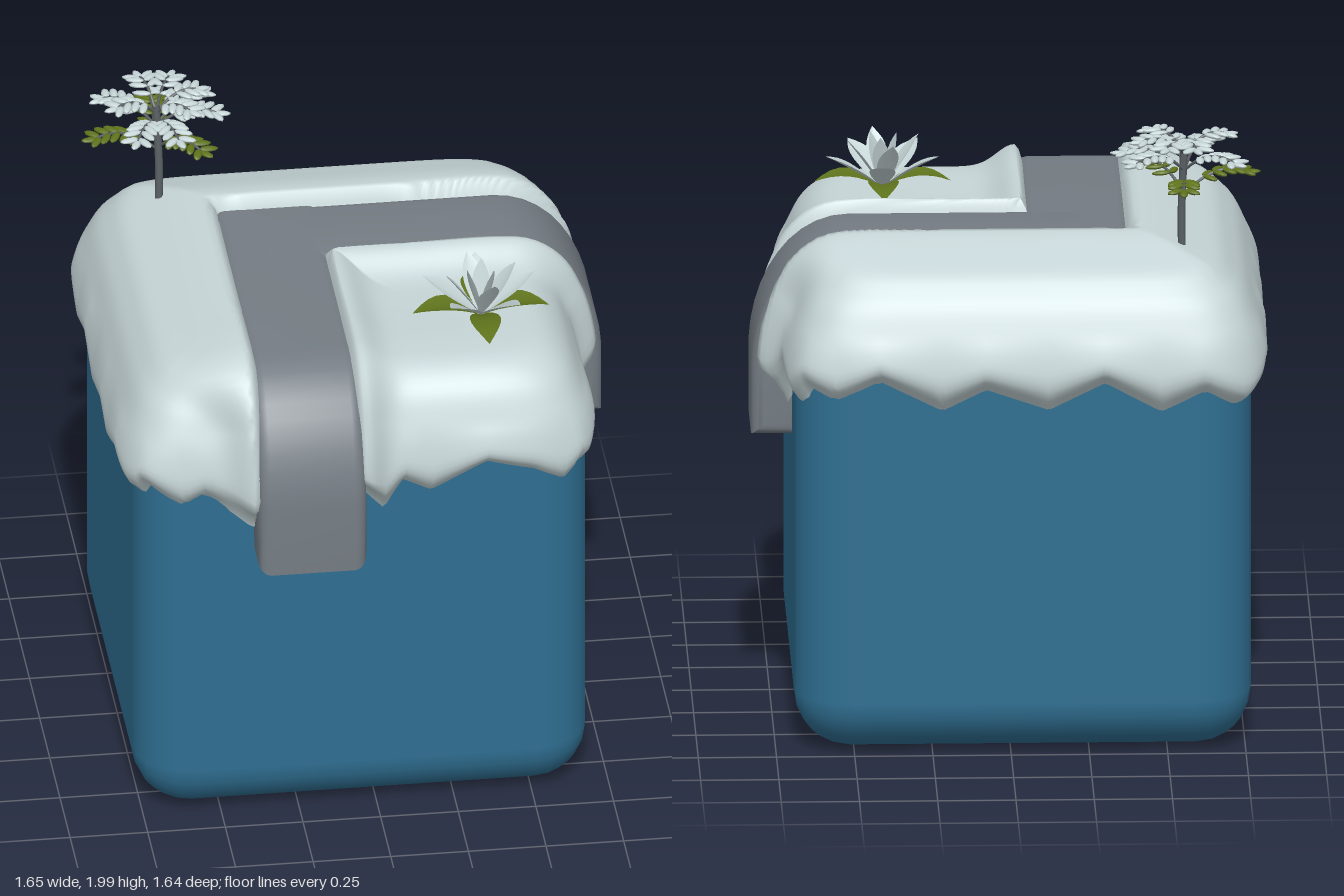
import * as THREE from 'three';
import { mergeVertices, toCreasedNormals } from 'three/addons/utils/BufferGeometryUtils.js';
import { RoundedBoxGeometry } from 'three/addons/geometries/RoundedBoxGeometry.js';

function mat(name, color, side = THREE.FrontSide) {
  const m = new THREE.MeshStandardMaterial({ color, side });
  m.name = name;
  return m;
}
const ICE = mat('ice blue', 0x2f6f92);
const SNOW = mat('snow', 0xc6d5d7, THREE.DoubleSide);
const STONE = mat('path grey', 0x747c83);
const GREEN = mat('leaf green', 0x5f731c, THREE.DoubleSide);
const BARK = mat('bark grey', 0x5c6266);

function mesh(name, geometry, material, parent) {
  const m = new THREE.Mesh(geometry, material);
  m.name = name;
  parent.add(m);
  return m;
}

// Path arms lie between these two lines in both x and z
const OUT = -0.4, IN = -0.05;

// Raised lip beside the path and sunken channel below it
function lip(x, z, sigmaOut, sigmaIn) {
  const outer = Math.max(OUT - x, OUT - z);
  const inner = Math.min(x - IN, z - IN);
  if (outer >= 0) return 0.075 * Math.exp(-((outer / sigmaOut) ** 2));
  if (inner >= 0) return 0.07 * Math.exp(-((inner / sigmaIn) ** 2));
  return 0.072 - 0.15 * THREE.MathUtils.smoothstep(Math.min(-outer, -inner), 0, 0.06);
}

// Heights of the ragged snow edge along each side: [position, y]
const EDGES = {
  front: [[-0.75, 1.22], [-0.63, 1.14], [-0.56, 1.19], [-0.45, 1.12], [-0.41, 1.09], [-0.05, 1.2], [0.02, 1.11],
    [0.08, 1.2], [0.17, 1.15], [0.35, 1.25], [0.5, 1.2], [0.6, 1.13], [0.7, 1.21]],
  right: [[-0.77, 1.23], [-0.68, 1.13], [-0.53, 1.21], [-0.44, 1.09], [-0.4, 1.12], [-0.05, 1.13], [0.05, 1.03],
    [0.12, 1.17], [0.2, 1.15], [0.35, 1.22], [0.5, 1.25], [0.63, 1.17], [0.7, 1.21]],
  back: [[-0.75, 1.12], [-0.62, 1.2], [-0.48, 1.14], [-0.3, 1.24], [-0.12, 1.15], [0.08, 1.22], [0.22, 1.15],
    [0.42, 1.25], [0.56, 1.17], [0.7, 1.23]],
  left: [[-0.75, 1.12], [-0.6, 1.22], [-0.42, 1.16], [-0.24, 1.24], [-0.05, 1.14], [0.15, 1.21], [0.3, 1.15],
    [0.47, 1.23], [0.6, 1.16], [0.7, 1.22]],
};
function edgeHeight(dx, dz, x, z) {
  const alongX = Math.abs(dz) > Math.abs(dx);
  const table = alongX ? (dz > 0 ? EDGES.front : EDGES.back) : (dx > 0 ? EDGES.right : EDGES.left);
  const s = alongX ? x : z;
  if (s <= table[0][0]) return table[0][1];
  for (let i = 1; i < table.length; i++) {
    const [a, ya] = table[i - 1], [b, yb] = table[i];
    if (s <= b) return ya + (yb - ya) * (s - a) / (b - a);
  }
  return table[table.length - 1][1];
}

// Snow cap: rounded-square rings following a profile, pushed out by the lips
function snowGeometry() {
  const around = 288, rows = 48, half = 0.775, cx = -0.05, cz = -0.045;
  const profile = new THREE.CatmullRomCurve3([
    [0, 1.575], [0.35, 1.575], [0.68, 1.578], [0.8, 1.565], [0.89, 1.51], [0.95, 1.42], [0.99, 1.33], [1, 1.25], [0.93, 1.18],
  ].map(([k, y]) => new THREE.Vector3(k * half, y, 0)));
  const pos = [], index = [];
  for (let j = 0; j <= rows; j++) {
    const p = profile.getPointAt(j / rows), t = profile.getTangentAt(j / rows);
    for (let i = 0; i < around; i++) {
      const a = i / around * Math.PI * 2, c = Math.cos(a), s = Math.sin(a);
      const r = (Math.abs(c) ** 8 + Math.abs(s) ** 8) ** (-1 / 8);
      const x = cx + c * r * p.x, z = cz + s * r * p.x;
      const wall = THREE.MathUtils.smoothstep(p.x / half, 0.8, 0.95);
      const push = lip(x, z, 0.2 - 0.13 * wall, 0.08 - 0.015 * wall) * (p.y < 1.25 ? 0.75 : 1);
      let y = p.y;
      if (y < 1.4) y = 1.4 - (1.4 - y) * (1.4 - edgeHeight(c, s, x, z)) / 0.22;
      const out = Math.max(0, -t.y) * push;
      // wall pushes go straight out of the nearest side
      const side = Math.abs(c) > Math.abs(s);
      pos.push(x + (side ? Math.sign(c) * out : 0), y + Math.max(0, t.x) * push, z + (side ? 0 : Math.sign(s) * out));
      if (j < rows) {
        const n = (i + 1) % around, b = j * around;
        index.push(b + i, b + n, b + around + i, b + n, b + around + n, b + around + i);
      }
    }
  }
  const g = new THREE.BufferGeometry();
  g.setAttribute('position', new THREE.Float32BufferAttribute(pos, 3));
  g.setIndex(index);
  g.computeVertexNormals();
  return g;
}

// One path arm: flat top bending down over the edge, with soft bevels
function pathArmGeometry(start) {
  const b = 0.04;
  const shape = new THREE.Shape();
  shape.moveTo(start + b, 1.45);
  shape.lineTo(start + b, 1.61 - b);
  shape.lineTo(0.5, 1.61 - b);
  shape.bezierCurveTo(0.66, 1.57, 0.77, 1.4, 0.78, 1.2);
  shape.lineTo(0.78, 0.965 + b);
  shape.lineTo(0.7, 0.965 + b);
  shape.lineTo(0.68, 1.2);
  shape.bezierCurveTo(0.66, 1.35, 0.6, 1.45, 0.48, 1.45);
  const g = new THREE.ExtrudeGeometry(shape, {
    depth: IN - OUT - 2 * b, bevelSize: b, bevelThickness: b, bevelSegments: 4, curveSegments: 10,
  });
  g.deleteAttribute('uv');
  g.deleteAttribute('normal');
  return toCreasedNormals(mergeVertices(g, 1e-4), 0.8);
}

// Pointed, folded leaf along +z, arching from the base
function leafGeometry(length, width, rise, droop) {
  const g = new THREE.PlaneGeometry(2, 1, 2, 8), p = g.attributes.position;
  for (let i = 0; i < p.count; i++) {
    const t = p.getY(i) + 0.5, u = p.getX(i);
    const w = width / 2 * (0.22 * (1 - t) + 0.95 * Math.sin(Math.PI * t ** 1.15));
    p.setXYZ(i, u * w, rise * t - droop * t * t + Math.abs(u) * w * 0.3, length * t);
  }
  g.computeVertexNormals();
  return g;
}

function rosette() {
  const g = new THREE.Group();
  g.name = 'rosettePlant';
  const tiers = [
    // count, first angle, length, width, rise, droop, material
    [4, 0, 0.22, 0.095, 0.13, 0.11, GREEN],
    [5, 0.6, 0.19, 0.08, 0.14, 0.02, SNOW],
    [4, 0.25, 0.12, 0.065, 0.18, 0.01, SNOW],
    [3, 0.9, 0.05, 0.055, 0.18, 0, SNOW],
  ];
  tiers.forEach(([n, a0, len, w, rise, droop, m], k) => {
    const geo = leafGeometry(len, w, rise, droop);
    for (let i = 0; i < n; i++) {
      mesh(k ? 'frostedLeaf' : 'greenLeaf', geo, m, g).rotation.y = a0 + i / n * Math.PI * 2;
    }
  });
  g.position.set(0.38, 1.578, 0.31);
  return g;
}

// Feathered frond along +z: thin rib with paired oval leaflets
const leaflet = new THREE.SphereGeometry(1, 8, 5).scale(0.014, 0.008, 0.032);
function frond(length, rise, end, material) {
  const g = new THREE.Group();
  g.name = 'frond';
  const curve = new THREE.QuadraticBezierCurve3(
    new THREE.Vector3(), new THREE.Vector3(0, rise, length * 0.45), new THREE.Vector3(0, end, length * 0.9));
  mesh('frondRib', new THREE.TubeGeometry(curve, 8, 0.005, 5), BARK, g);
  const pairs = Math.round(length / 0.042);
  for (let i = 0; i < pairs; i++) {
    const p = curve.getPoint(0.35 + 0.6 * i / (pairs - 1));
    for (const s of [-1, 1]) {
      const l = mesh('leaflet', leaflet, material, g);
      l.position.set(s * 0.026, p.y, p.z + 0.008);
      l.rotation.set(0.1, s * 0.95, 0);
    }
  }
  mesh('leafletTip', leaflet, material, g).position.set(0, end, length * 0.9 + 0.01);
  return g;
}

function palm() {
  const g = new THREE.Group();
  g.name = 'palm';
  const trunk = new THREE.CatmullRomCurve3([
    new THREE.Vector3(0.005, -0.03, 0.02), new THREE.Vector3(0.008, 0.12, 0.015), new THREE.Vector3(0, 0.36, 0)]);
  mesh('trunk', new THREE.TubeGeometry(trunk, 8, 0.013, 7), BARK, g);
  const tiers = [
    // height, length, rise, end, material, directions in degrees from +z
    [0.2, 0.23, 0.11, 0.065, GREEN, [40, 178, -82]],
    [0.28, 0.22, 0.1, 0.05, SNOW, [82, -25, 125, -125, 15]],
    [0.33, 0.16, 0.09, 0.055, SNOW, [45, -70, 155, -165, 105]],
  ];
  for (const [y, len, rise, end, m, angles] of tiers) {
    for (const a of angles) {
      const f = frond(len, rise, end, m);
      f.position.y = y;
      f.rotation.y = THREE.MathUtils.degToRad(a);
      g.add(f);
    }
  }
  g.position.set(-0.56, 1.59, -0.5);
  return g;
}

export function createModel() {
  const root = new THREE.Group();
  root.name = 'snowyBlock';

  mesh('iceBlock', new RoundedBoxGeometry(1.46, 1.5, 1.46, 3, 0.18), ICE, root).position.set(-0.04, 0.75, -0.04);
  mesh('snowCap', snowGeometry(), SNOW, root);

  // L-shaped path: one arm to the front, one to the model's left
  const frontArm = mesh('pathFrontArm', pathArmGeometry(OUT), STONE, root);
  frontArm.rotation.y = -Math.PI / 2;
  frontArm.position.x = IN - 0.04;
  mesh('pathSideArm', pathArmGeometry(-0.25), STONE, root).position.z = OUT + 0.04;

  root.add(rosette(), palm());
  return root;
}
